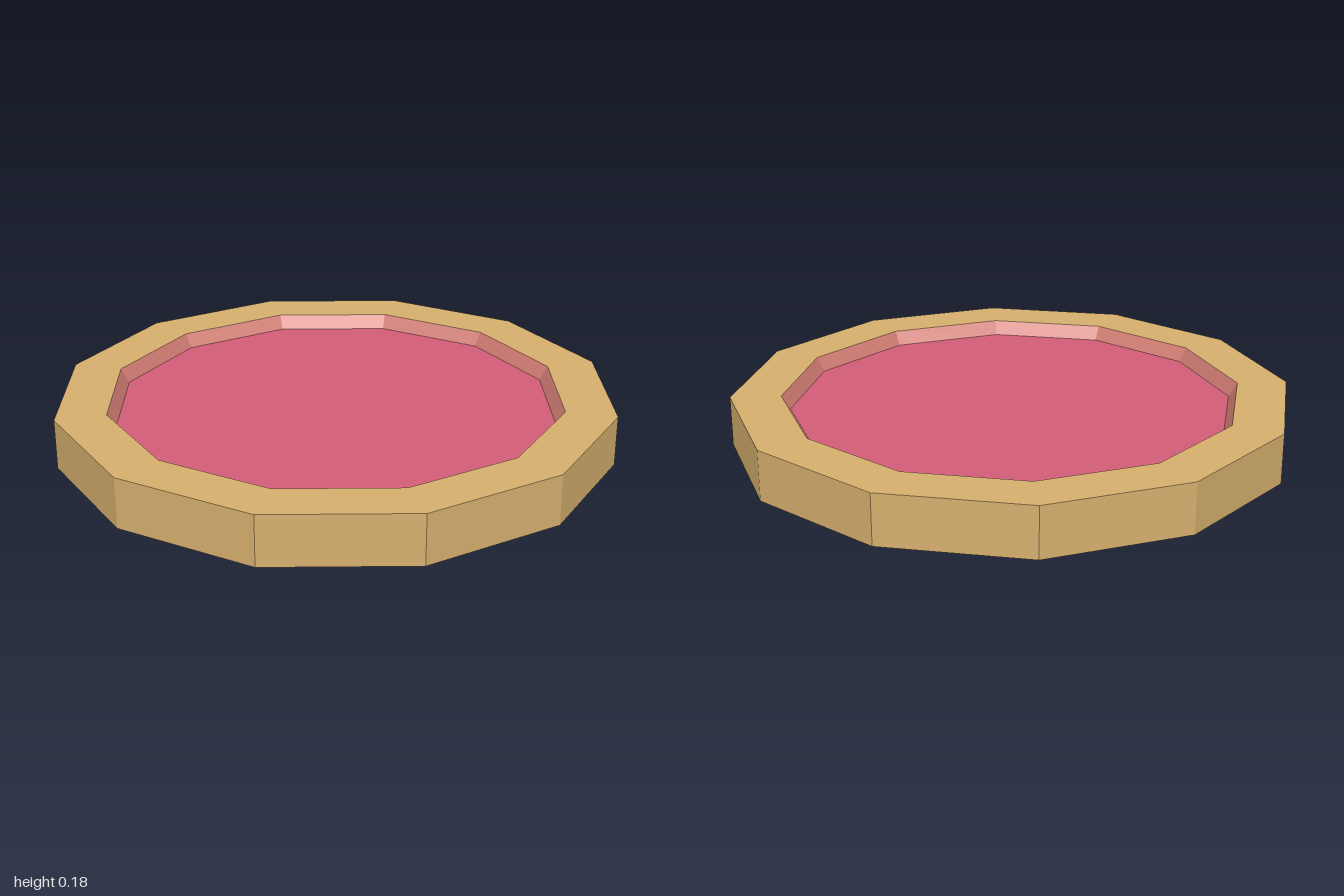
import * as THREE from 'three';

const SIDES = 12;
const HEIGHT = 0.18;
const RECESS = 0.05; // depth of the panel below each face
const OUTER = 1, INNER = 0.82, PANEL = 0.79;

const flat = (name, color) => {
  const m = new THREE.MeshStandardMaterial({ color, flatShading: true });
  m.name = name;
  return m;
};

export function createModel() {
  const gold = flat('gold', 0xd6af6e);
  const salmon = flat('salmon', 0xd07c73);
  const pink = flat('pink', 0xd25e77);

  const group = new THREE.Group();
  group.name = 'framedDisc';

  const add = (name, geometry, material) => {
    const mesh = new THREE.Mesh(geometry, material);
    mesh.name = name;
    group.add(mesh);
    return mesh;
  };
  const ring = (...points) =>
    new THREE.LatheGeometry(points.map(([r, y]) => new THREE.Vector2(r, y)), SIDES);

  // Frame: flat underside, upright outer wall, flat top
  add('frame', ring([INNER, 0], [OUTER, 0], [OUTER, HEIGHT], [INNER, HEIGHT]), gold);

  // Sloped edges leading down to the recessed panel on both faces
  add('upperBevel', ring([INNER, HEIGHT], [PANEL, HEIGHT - RECESS]), salmon);
  add('lowerBevel', ring([PANEL, RECESS], [INNER, 0]), salmon);

  // Panel filling the frame
  const panel = new THREE.CylinderGeometry(PANEL, PANEL, HEIGHT - 2 * RECESS, SIDES);
  add('panel', panel, pink).position.y = HEIGHT / 2;

  return group;
}
